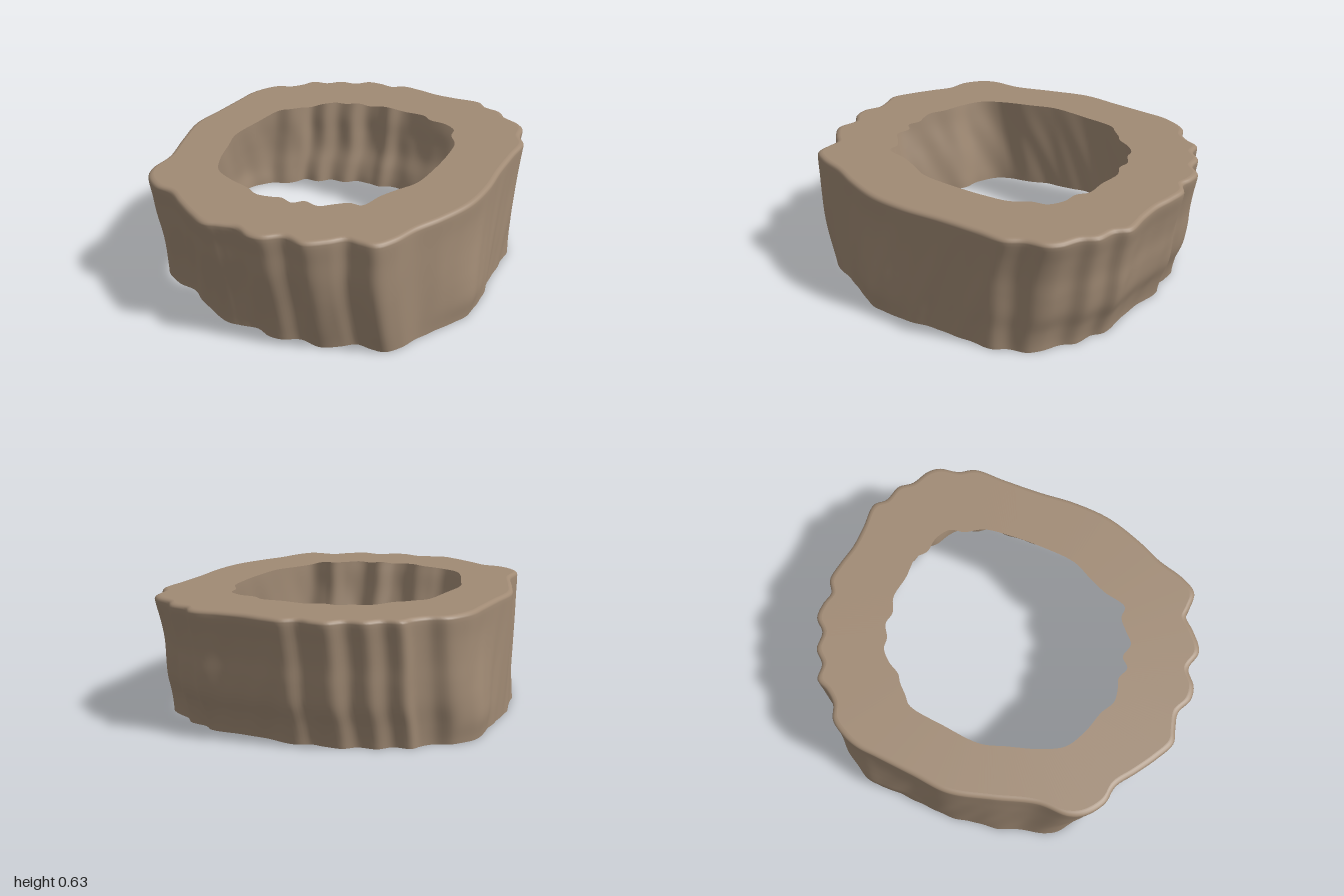
import * as THREE from 'three';

// Rim outline as x, z pairs, running back -> left (+x) -> front -> right (-x)
const RIM = [
  0.30, -0.88, 0.38, -0.87, 0.48, -0.83, 0.53, -0.76, 0.60, -0.72, 0.67, -0.70, 0.70, -0.62,
  0.77, -0.57, 0.80, -0.48, 0.87, -0.43, 0.89, -0.35, 0.89, -0.28, 0.94, -0.22, 0.95, -0.12,
  0.95, 0, 0.97, 0.12, 1.0, 0.26, 0.96, 0.32, 0.95, 0.42, 0.90, 0.48, 0.87, 0.58, 0.83, 0.63,
  0.73, 0.67, 0.66, 0.73, 0.5, 0.76, 0.3, 0.80, 0.1, 0.85, -0.1, 0.87, -0.3, 0.84, -0.45, 0.80,
  -0.6, 0.78, -0.69, 0.74, -0.71, 0.66, -0.72, 0.6, -0.79, 0.55, -0.87, 0.47, -0.87, 0.36,
  -0.94, 0.29, -0.96, 0.22, -0.94, 0.13, -0.97, 0.05, -1.0, -0.02, -0.97, -0.13, -0.92, -0.25,
  -0.87, -0.36, -0.87, -0.46, -0.82, -0.56, -0.75, -0.61, -0.6, -0.64, -0.4, -0.74, -0.2, -0.83,
  0, -0.85, 0.2, -0.87,
];
// Opening outline in the same order
const HOLE = [
  0.2, -0.565, 0.25, -0.53, 0.31, -0.49, 0.34, -0.46, 0.42, -0.43, 0.48, -0.385, 0.50, -0.33,
  0.55, -0.27, 0.555, -0.2, 0.60, -0.13, 0.61, 0, 0.63, 0.12, 0.60, 0.18, 0.605, 0.27, 0.57, 0.35,
  0.5, 0.38, 0.42, 0.45, 0.3, 0.49, 0.1, 0.53, -0.08, 0.545, -0.2, 0.51, -0.3, 0.485, -0.43, 0.47,
  -0.445, 0.41, -0.5, 0.36, -0.56, 0.31, -0.56, 0.23, -0.61, 0.19, -0.60, 0.12, -0.625, 0.07,
  -0.645, 0, -0.62, -0.08, -0.605, -0.2, -0.565, -0.32, -0.47, -0.40, -0.32, -0.48, -0.2, -0.54,
  0, -0.56,
];
const SEGMENTS = 360;
const TOP = 0.628, LIP = 0.608;

// Smooth factor over the height, from evenly spaced values (bottom to top)
function profile(values) {
  const spline = new THREE.SplineCurve(values.map((v) => new THREE.Vector2(v, 0)));
  return (y) => spline.getPoint(THREE.MathUtils.clamp(y / LIP, 0, 1)).x;
}
const rightTaper = profile([0.87, 0.885, 0.905, 0.93, 0.955, 0.975, 1]);
const leftTaper = profile([0.87, 0.895, 0.935, 0.952, 0.96, 0.978, 1]);
const swell = profile([0.015, 0.032, 0.027, 0.015, 0.003, -0.003, 0]);

function outline(pairs) {
  const knots = [];
  for (let i = 0; i < pairs.length; i += 2) knots.push(new THREE.Vector3(pairs[i], 0, pairs[i + 1]));
  const curve = new THREE.CatmullRomCurve3(knots, true, 'centripetal');
  return curve.getSpacedPoints(SEGMENTS).slice(0, SEGMENTS);
}

const bump = (angle, centre, width) => Math.exp(-(((angle - centre) / width) ** 2));

// Joins closed rings of points, listed from the top down or the inside out
function loft(rings) {
  const n = rings[0].length, index = [];
  for (let r = 0; r < rings.length - 1; r++) {
    for (let j = 0; j < n; j++) {
      const k = (j + 1) % n;
      const a = r * n + j, b = r * n + k, c = a + n, d = b + n;
      index.push(a, b, c, b, d, c);
    }
  }
  const g = new THREE.BufferGeometry();
  g.setAttribute('position', new THREE.Float32BufferAttribute(rings.flat(2), 3));
  g.setIndex(index);
  g.computeVertexNormals();
  return g;
}

export function createModel() {
  const wood = new THREE.MeshStandardMaterial({ color: 0xa08a74, side: THREE.DoubleSide });
  wood.name = 'weathered wood';

  const rim = outline(RIM);
  const flatRing = (points, s, y) => points.map((p) => [p.x * s, y, p.z * s]);

  // Bark wall ring: tapers in width, swells at front and back, with a slanted grain
  const barkRing = (y) => rim.map((p) => {
    const angle = Math.atan2(p.z, p.x);
    const drop = 1 - y / LIP;
    const side = THREE.MathUtils.smoothstep(p.x, -0.5, 0.5);
    // Front corners: the right one stays wide at mid height, the left one pulls in
    const corner = Math.sin(Math.PI * drop)
      * (0.05 * bump(angle, 2.36, 0.35) - 0.05 * bump(angle, 0.8, 0.25));
    const sx = THREE.MathUtils.lerp(rightTaper(y), leftTaper(y), side) + corner;
    const sz = 1 + swell(y) * (bump(angle, 1.69, 0.25) + bump(angle, -1.24, 0.25))
      + 0.085 * drop * bump(angle, -2.26, 0.24);
    const grain = 0.003 * Math.min(1, drop * 2)
      * (Math.sin(angle * 19 + y * 9) + 0.6 * Math.sin(angle * 37 + y * 15 + 1));
    return [p.x * (sx + grain), y, p.z * (sz + grain)];
  });

  // Small rounded lip flowing down into the wall
  const wallRings = [flatRing(rim, 0.972, TOP), flatRing(rim, 0.981, TOP - 0.001),
    flatRing(rim, 0.991, TOP - 0.005), flatRing(rim, 0.998, TOP - 0.012)];
  const rows = 30;
  for (let r = 0; r <= rows; r++) wallRings.push(barkRing(LIP * (1 - r / rows)));
  const wall = new THREE.Mesh(loft(wallRings), wood);
  wall.name = 'barkWall';

  // Flat top with its ragged opening
  const top = new THREE.Mesh(loft([flatRing(outline(HOLE), 1, TOP), flatRing(rim, 0.972, TOP)]), wood);
  top.name = 'topRing';

  const group = new THREE.Group();
  group.name = 'hollowStump';
  group.add(wall, top);
  return group;
}
